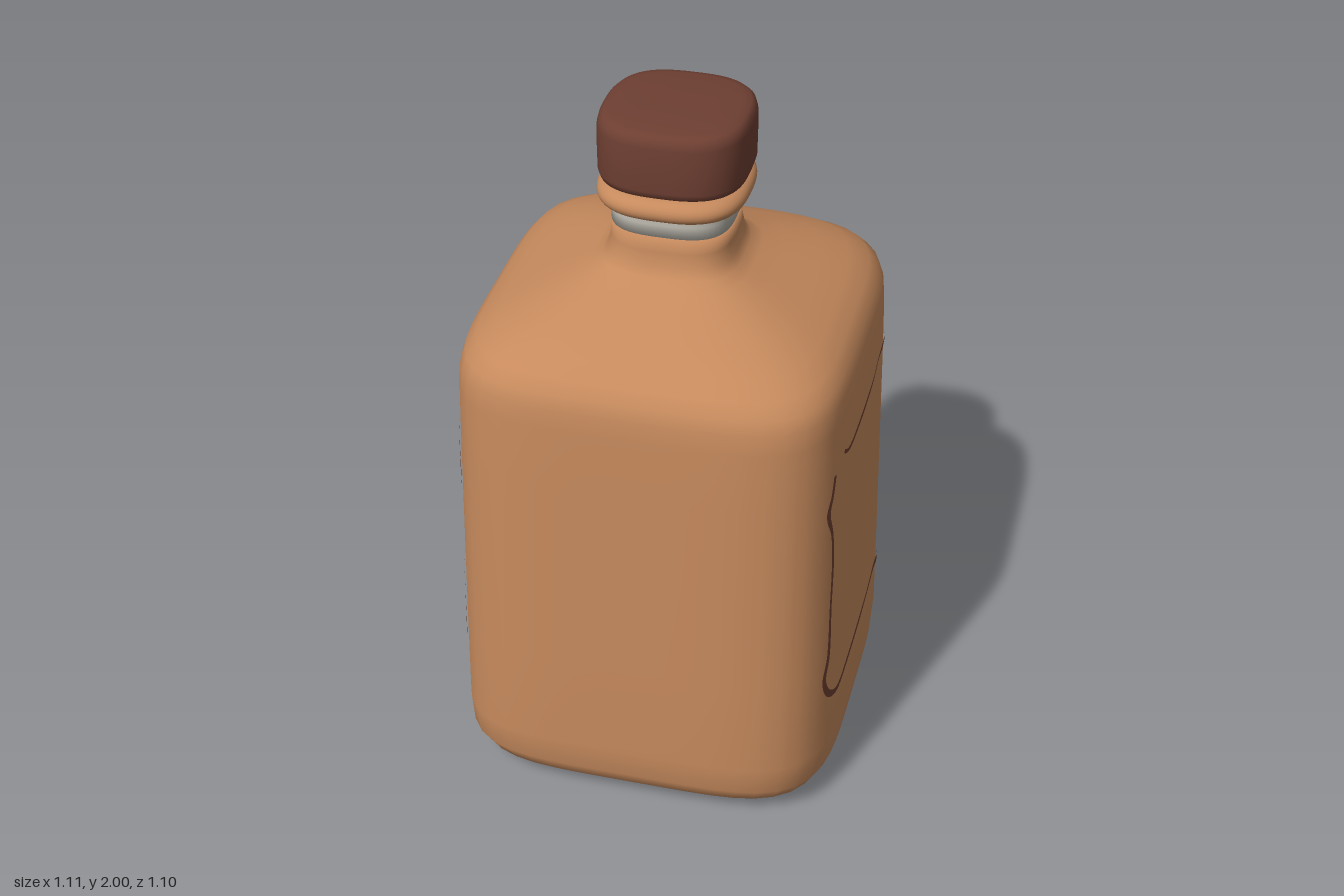
import * as THREE from 'three';

const SEG = 72;

// Distance from the axis to a rounded square of half width h and squareness n
const radius = (h, n, a) =>
  h / Math.pow(Math.pow(Math.abs(Math.cos(a)), n) + Math.pow(Math.abs(Math.sin(a)), n), 1 / n);

// Closed smooth loft through rounded-square sections [y, halfWidth, squareness]
function loft(sections, offsetZ = 0) {
  const pos = [], idx = [];
  for (const [y, h, n] of sections) {
    for (let j = 0; j < SEG; j++) {
      const a = (j / SEG) * Math.PI * 2, r = radius(h, n, a);
      pos.push(r * Math.sin(a), y, r * Math.cos(a) + offsetZ);
    }
  }
  for (let i = 0; i < sections.length - 1; i++) {
    for (let j = 0; j < SEG; j++) {
      const k = (j + 1) % SEG, a = i * SEG + j, b = i * SEG + k;
      idx.push(a, b, b + SEG, a, b + SEG, a + SEG);
    }
  }
  // end caps
  const last = (sections.length - 1) * SEG, bottom = pos.length / 3, top = bottom + 1;
  pos.push(0, sections[0][0], offsetZ, 0, sections[sections.length - 1][0], offsetZ);
  for (let j = 0; j < SEG; j++) {
    const k = (j + 1) % SEG;
    idx.push(bottom, k, j, top, last + j, last + k);
  }
  return build(pos, idx);
}

function build(pos, idx) {
  const g = new THREE.BufferGeometry();
  g.setAttribute('position', new THREE.Float32BufferAttribute(pos, 3));
  g.setIndex(idx);
  g.computeVertexNormals();
  return g;
}

const BODY = [
  [0.004, 0.30, 4.2], [0.006, 0.38, 4.2], [0.016, 0.44, 4.3], [0.034, 0.49, 4.4], [0.065, 0.525, 4.6],
  [0.11, 0.546, 4.7], [0.2, 0.552, 4.7], [0.5, 0.548, 4.7], [0.8, 0.543, 4.7], [1.1, 0.538, 4.7],
  [1.28, 0.534, 4.7], [1.34, 0.529, 4.7], [1.38, 0.517, 4.6], [1.415, 0.49, 4.5], [1.45, 0.44, 4.4],
  [1.485, 0.368, 4.2], [1.525, 0.282, 3.8], [1.555, 0.218, 3.5], [1.575, 0.19, 3.3], [1.6, 0.175, 3.2],
  [1.64, 0.168, 3.1], [1.685, 0.166, 3.1],
];

// Half width of the body at height y
function bodyHalf(y) {
  const i = Math.max(1, BODY.findIndex((s) => s[0] >= y));
  const [y0, h0] = BODY[i - 1], [y1, h1] = BODY[i];
  return h0 + ((h1 - h0) * (y - y0)) / (y1 - y0);
}

// Flat brush stroke [across, height, lineWidth] laid on the +x face of the body
function stroke(points) {
  const curve = new THREE.CatmullRomCurve3(points.map((p) => new THREE.Vector3(...p)));
  const steps = points.length * 6, pos = [], idx = [];
  const put = (u, y) => {
    const h = bodyHalf(y), n = 4.7;
    pos.push(h * Math.pow(1 - Math.pow(Math.abs(u) / h, n), 1 / n) + 0.004, y, -u);
  };
  for (let i = 0; i <= steps; i++) {
    const p = curve.getPoint(i / steps), t = curve.getTangent(i / steps);
    const s = p.z / 2 / Math.hypot(t.x, t.y);
    put(p.x + t.y * s, p.y - t.x * s);
    put(p.x - t.y * s, p.y + t.x * s);
    if (i < steps) {
      const a = i * 2;
      idx.push(a, a + 2, a + 3, a, a + 3, a + 1);
    }
  }
  return build(pos, idx);
}

// Hand-drawn label border, broken at the upper corners
const BORDER = [
  [[-0.29, 1.175, 0.012], [-0.25, 1.155, 0.012], [-0.12, 1.147, 0.014], [0, 1.147, 0.014], [0.1, 1.155, 0.01],
    [0.17, 1.175, 0.009], [0.26, 1.17, 0.014], [0.36, 1.155, 0.009]],
  [[0.4, 1.15, 0.008], [0.395, 1.09, 0.014], [0.408, 1.02, 0.013], [0.393, 0.95, 0.009], [0.39, 0.8, 0.014],
    [0.398, 0.6, 0.01], [0.408, 0.45, 0.014], [0.395, 0.4, 0.02], [0.355, 0.367, 0.02], [0.3, 0.368, 0.022],
    [0.22, 0.397, 0.02], [0.1, 0.385, 0.014], [0, 0.377, 0.018], [-0.2, 0.37, 0.018], [-0.31, 0.358, 0.018],
    [-0.37, 0.39, 0.022], [-0.395, 0.45, 0.018], [-0.375, 0.53, 0.016], [-0.368, 0.7, 0.011], [-0.36, 0.85, 0.012],
    [-0.367, 0.95, 0.012], [-0.388, 1.03, 0.018], [-0.37, 1.08, 0.014], [-0.355, 1.14, 0.014]],
];

export function createModel() {
  const model = new THREE.Group();
  const tan = new THREE.MeshStandardMaterial({ color: 0xc68a5d });
  const brown = new THREE.MeshStandardMaterial({ color: 0x6e3f32 });
  const grey = new THREE.MeshStandardMaterial({ color: 0xbfbbb1 });
  tan.name = 'tan';
  brown.name = 'dark brown';
  grey.name = 'pale grey';

  const add = (name, geometry, material, parent = model) => {
    const mesh = new THREE.Mesh(geometry, material);
    mesh.name = name;
    parent.add(mesh);
    return mesh;
  };

  // Body with shoulders and lower neck
  add('body', loft(BODY), tan);

  // Clear glass band of the upper neck
  add('neckBand', loft([
    [1.68, 0.166, 3.1], [1.72, 0.165, 3.1], [1.76, 0.165, 3.1], [1.82, 0.162, 3.1],
  ]), grey);

  // Rounded collar below the cap
  const collar = [];
  for (let i = 0; i <= 12; i++) {
    const a = -Math.PI / 2 + (Math.PI * i) / 12;
    collar.push([1.772 + 0.033 * Math.sin(a), 0.166 + 0.039 * Math.cos(a), 2.8]);
  }
  add('collar', loft(collar), tan);

  // Cap with softened edges
  add('cap', loft([
    [1.812, 0.17, 2.8], [1.81, 0.185, 2.8], [1.816, 0.197, 2.8], [1.835, 0.203, 2.8], [1.9, 0.204, 2.8],
    [1.96, 0.203, 2.8], [1.98, 0.198, 2.8], [1.991, 0.187, 2.8], [1.996, 0.165, 2.8], [2.0, 0.1, 2.8],
  ], -0.006), brown);

  // Label border on both sides
  for (const [name, turn] of [['leftLabelBorder', 0], ['rightLabelBorder', Math.PI]]) {
    const label = new THREE.Group();
    label.name = name;
    label.rotation.y = turn;
    BORDER.forEach((points) => add('borderStroke', stroke(points), brown, label));
    model.add(label);
  }
  return model;
}
